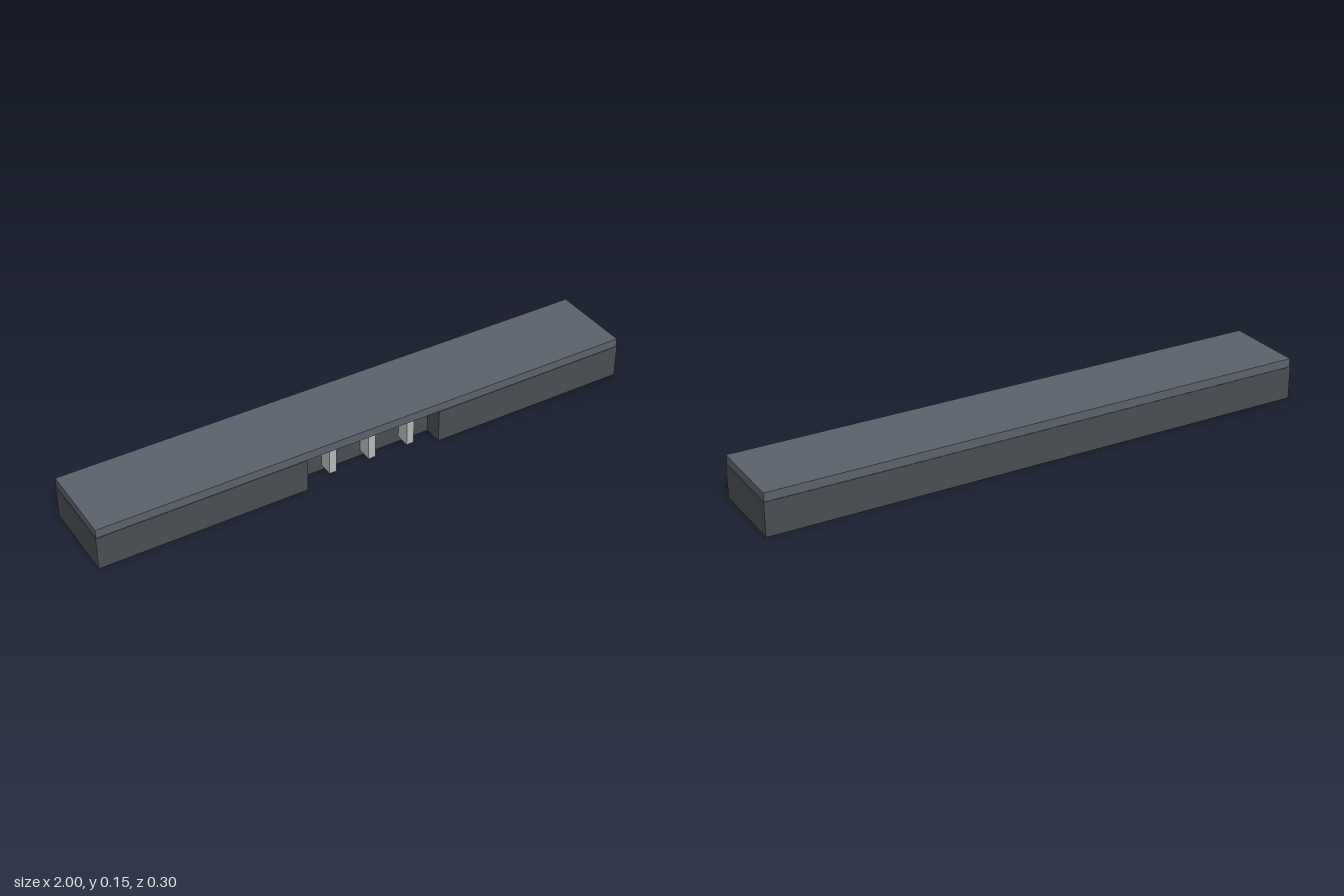
import * as THREE from 'three';

export function createModel() {
  const model = new THREE.Group();
  const paint = (color) => new THREE.MeshStandardMaterial({ color });
  const bodyPaint = paint(0x4a4e53);
  const slabPaint = paint(0x5c636d);
  const pinPaint = paint(0xb8babc);

  const bodyTop = 0.121, halfZ = 0.151;
  const notchHalf = 0.254, notchBack = 0.083;

  // Base block: plan outline with a shallow notch in the front, extruded upward
  const plan = new THREE.Shape([
    [-1, -halfZ], [-notchHalf, -halfZ], [-notchHalf, -notchBack], [notchHalf, -notchBack],
    [notchHalf, -halfZ], [1, -halfZ], [1, halfZ], [-1, halfZ],
  ].map(([x, y]) => new THREE.Vector2(x, y)));
  const bodyGeo = new THREE.ExtrudeGeometry(plan, { depth: bodyTop, bevelEnabled: false });
  bodyGeo.rotateX(-Math.PI / 2);
  const body = new THREE.Mesh(bodyGeo, bodyPaint);
  body.name = 'base';
  model.add(body);

  const addBox = (name, size, position, material) => {
    const mesh = new THREE.Mesh(new THREE.BoxGeometry(...size), material);
    mesh.position.set(...position);
    mesh.name = name;
    model.add(mesh);
  };

  // Cover slab, set in slightly from the base edges
  const slabHeight = 0.031;
  addBox('topSlab', [1.996, slabHeight, 0.298], [0, bodyTop + slabHeight / 2, 0], slabPaint);

  // Three upright pins standing against the back of the notch
  const pinBottom = 0.02, pinFront = 0.136;
  for (const x of [-0.15, 0, 0.15]) {
    addBox('pin', [0.027, bodyTop - pinBottom, pinFront - notchBack],
      [x, (bodyTop + pinBottom) / 2, (pinFront + notchBack) / 2], pinPaint);
  }
  return model;
}
